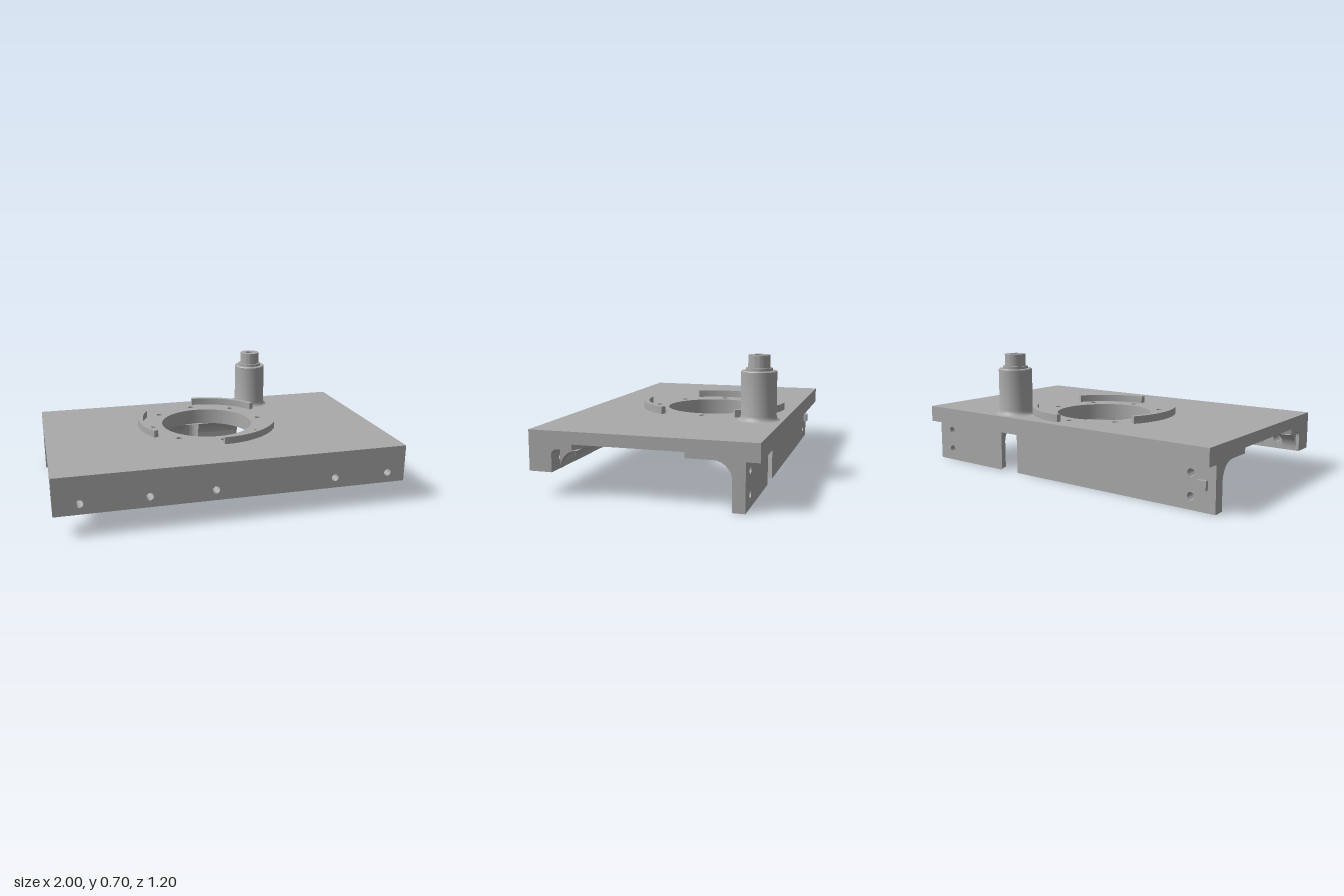
import * as THREE from 'three';
import { toCreasedNormals } from 'three/addons/utils/BufferGeometryUtils.js';

const HUB = { x: 0, z: -0.11, r: 0.28 };          // large centre opening
const POST = { x: 0.39, z: -0.463 };              // upright post
const POST_CUT = { x: 0.39, z: -0.453, r: 0.1 };  // flange clearance below the post
const BOLT_CUT = { x: -0.02, z: -0.455, r: 0.05 }; // flange clearance below a bolt hole
const FRONT_HOLES = [-0.86, -0.49, -0.125, 0.57, 0.895];
const UNDER = 0.25;                               // underside of the plate

const metal = new THREE.MeshStandardMaterial({ color: 0xaaaaaa });
metal.name = 'grey metal';

function add(group, name, geometry, crease = 0.55) {
  const mesh = new THREE.Mesh(toCreasedNormals(geometry, crease), metal);
  mesh.name = name;
  group.add(mesh);
  return mesh;
}

const arcPoints = (c, r, a0, a1, n = 16) => Array.from({ length: n + 1 }, (_, i) => {
  const a = a0 + (a1 - a0) * i / n;
  return new THREE.Vector2(c.x + r * Math.cos(a), c.z + r * Math.sin(a));
});
const shapeOf = pts => new THREE.Shape(pts.map(p => (p.isVector2 ? p : new THREE.Vector2(...p))));
const circle = (x, y, r) => new THREE.Path().absarc(x, y, r, 0, Math.PI * 2, true);

// Plan shape (x, z) extruded from y0 to y1
function slab(shape, y0, y1, curveSegments = 24) {
  return new THREE.ExtrudeGeometry(shape, { depth: y1 - y0, bevelEnabled: false, curveSegments })
    .rotateX(Math.PI / 2).translate(0, y1, 0);
}

// Upright wall (x, y) extruded from z0 to z1, with round holes
function wall(x0, x1, y0, y1, z0, z1, holes) {
  const s = shapeOf([[x0, y0], [x1, y0], [x1, y1], [x0, y1]]);
  s.holes = holes.map(([x, y]) => circle(x, y, 0.021));
  return new THREE.ExtrudeGeometry(s, { depth: z1 - z0, bevelEnabled: false, curveSegments: 12 })
    .translate(0, 0, z0);
}

// Concave fillet under the plate; dir is the z direction away from its wall
function fillet(zWall, dir, r, left, right, nx = 1, lift = () => 0) {
  const g = new THREE.BoxGeometry(1, 1, 1, nx, 1, 12);
  const p = g.attributes.position;
  for (let i = 0; i < p.count; i++) {
    const w = p.getZ(i) + 0.5;
    const t = (dir > 0 ? w : 1 - w) * Math.PI / 2;
    const z = zWall + dir * r * (1 - Math.cos(t));
    const x = THREE.MathUtils.lerp(left(z), right(z), p.getX(i) + 0.5);
    const bottom = Math.max(UNDER - r + r * Math.sin(t), lift(x));
    p.setXYZ(i, x, p.getY(i) > 0 ? UNDER + 0.0005 : bottom, z);
  }
  return g;
}

function boltHoles() {
  return Array.from({ length: 8 }, (_, i) => {
    const a = i * Math.PI / 4 - 0.058;
    return circle(HUB.x + 0.346 * Math.cos(a), HUB.z + 0.346 * Math.sin(a), 0.019);
  });
}

export function createModel() {
  const model = new THREE.Group();
  model.name = 'mountingPlate';
  const openings = () => [circle(HUB.x, HUB.z, HUB.r), circle(POST.x, POST.z, 0.027), ...boltHoles()];

  // Plate: full upper layer, and lower layer with a shallow pocket at each end
  const top = shapeOf([[-1, -0.6], [1, -0.6], [1, 0.6], [-1, 0.6]]);
  top.holes = openings();
  add(model, 'plateTop', slab(top, 0.28, 0.345, 48));
  const pocket = [[1, -0.23], ...arcPoints(HUB, 0.503, -0.24, 0.366, 10).map(v => [v.x, v.y]), [1, 0.36]];
  const mirrored = pocket.map(([x, z]) => [-x, z]).reverse();
  const under = shapeOf([[-1, -0.6], [1, -0.6], ...pocket, [1, 0.6], [-1, 0.6], ...mirrored]);
  under.holes = openings();
  add(model, 'plateUnderside', slab(under, UNDER, 0.28, 48));

  // Raised arcs around the opening
  for (const start of [-90, 30, 150]) {
    const a0 = THREE.MathUtils.degToRad(start), a1 = a0 + Math.PI / 3;
    const s = shapeOf([...arcPoints(HUB, 0.43, a0, a1), ...arcPoints(HUB, 0.4, a1, a0)]);
    add(model, 'locatingArc', slab(s, 0.345, 0.387));
  }

  // Hollow stepped post
  const profile = [[0.118, 0.345], [0.108, 0.349], [0.101, 0.358], [0.0975, 0.372], [0.0975, 0.61],
    [0.093, 0.615], [0.073, 0.615], [0.073, 0.63], [0.06, 0.63], [0.06, 0.7], [0.027, 0.7], [0.027, 0.345]];
  add(model, 'post', new THREE.LatheGeometry(profile.map(q => new THREE.Vector2(...q)), 48))
    .position.set(POST.x, 0, POST.z);

  // Front skirt with bolt holes and its small inner fillet
  add(model, 'frontSkirt', wall(-1, 1, 0.13, UNDER, 0.475, 0.6, FRONT_HOLES.map(x => [x, 0.19])));
  add(model, 'skirtFillet', fillet(0.475, -1, 0.03, () => -1, () => 1));

  // Hanging rib behind the skirt, scalloped at every bolt hole
  const arch = x => {
    const dx = Math.min(...FRONT_HOLES.map(h => Math.abs(x - h)));
    return dx < 0.06 ? 0.19 + Math.sqrt(0.0036 - dx * dx) : 0;
  };
  add(model, 'scallopedRib', fillet(0.425, -1, 0.095, () => -1, () => 1, 400, arch));

  // Back flange: drilled ends, and a middle part with clearance cuts
  const ends = [[-1, -0.08, -0.86], [0.5, 1, 0.895]];
  for (const [x0, x1, h] of ends) {
    add(model, 'flangeEnd', wall(x0, x1, 0, UNDER, -0.53, -0.465, [[h, 0.07], [h, 0.19]]));
  }
  const angleAt = (c, z) => Math.asin((z - c.z) / c.r);
  const aOut = angleAt(POST_CUT, -0.53), aIn = angleAt(POST_CUT, -0.465), aBolt = angleAt(BOLT_CUT, -0.465);
  const middle = shapeOf([[-0.08, -0.53],
    ...arcPoints(POST_CUT, POST_CUT.r, Math.PI - aOut, Math.PI - aIn),
    ...arcPoints(BOLT_CUT, BOLT_CUT.r, aBolt, -Math.PI - aBolt), [-0.08, -0.465]]);
  add(model, 'flangeMiddle', slab(middle, 0, UNDER));
  const side = shapeOf([[0.5, -0.53], [0.5, -0.465], ...arcPoints(POST_CUT, POST_CUT.r, aIn, aOut)]);
  add(model, 'flangeSide', slab(side, 0, UNDER));

  // Flange fillet, interrupted by the same clearance cuts
  const edge = (c, s) => z => c.x + s * Math.sqrt(Math.max(0, c.r ** 2 - (z - c.z) ** 2));
  const spans = [[() => -1, edge(BOLT_CUT, -1)], [edge(BOLT_CUT, 1), edge(POST_CUT, -1)], [edge(POST_CUT, 1), () => 1]];
  for (const [l, r] of spans) add(model, 'flangeFillet', fillet(-0.465, 1, 0.095, l, r));

  // Small stop block on the back of the flange
  add(model, 'stopBlock', new THREE.BoxGeometry(0.05, 0.05, 0.03)).position.set(-0.93, 0.14, -0.535);

  return model;
}
